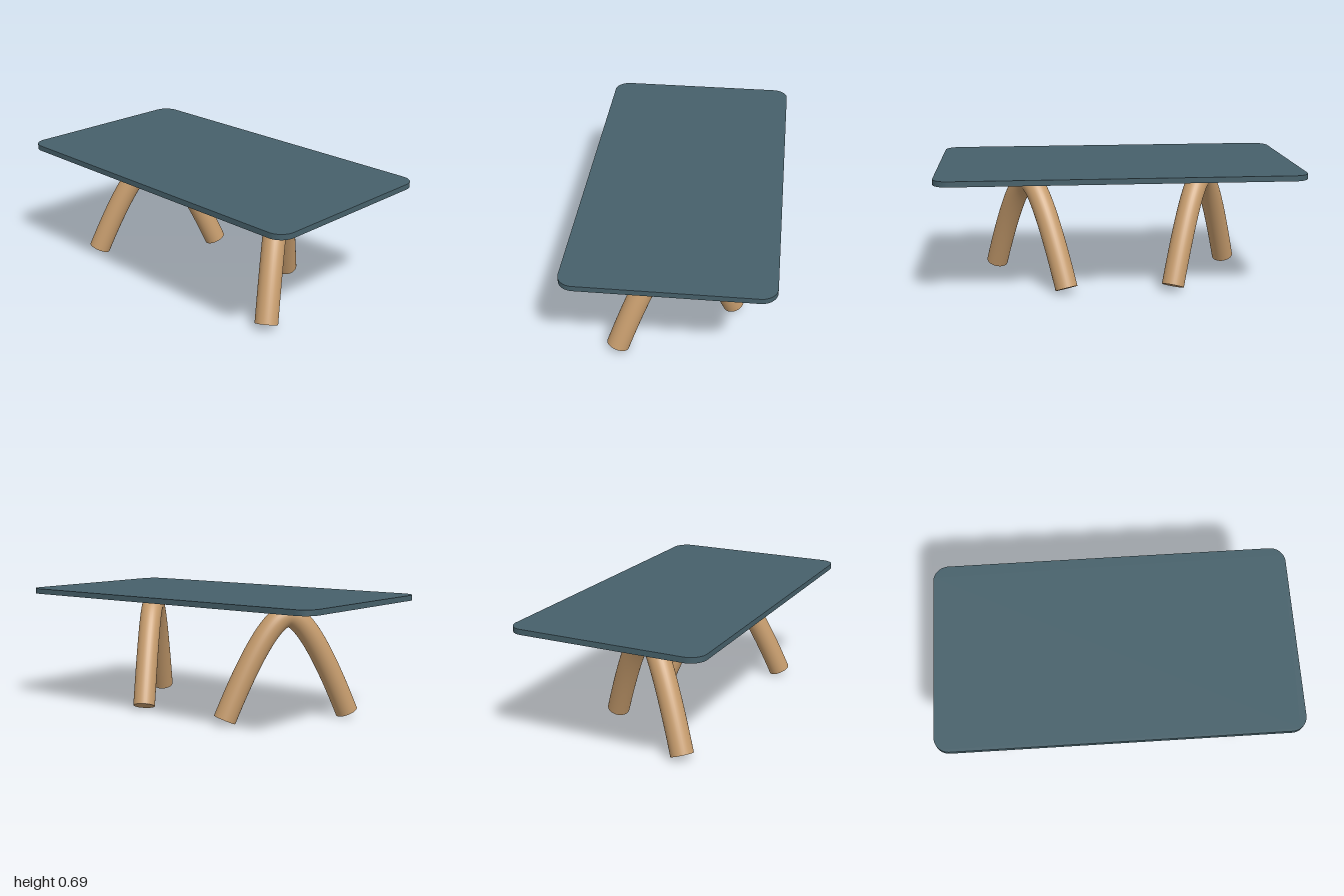
import * as THREE from 'three';

const WOOD = new THREE.MeshStandardMaterial({ color: 0xc69c6d });
const SLATE = new THREE.MeshStandardMaterial({ color: 0x46606a });
const DARK = new THREE.MeshStandardMaterial({ color: 0x2a2d30 });

const LEG_RADIUS = 0.063;
const ARCH_X = 0.5;

function addMesh(parent, name, geometry, material) {
  const mesh = new THREE.Mesh(geometry, material);
  mesh.name = name;
  parent.add(mesh);
  return mesh;
}

// Thin slab with rounded corners, lying flat
function createTop() {
  const w = 1, d = 0.545, r = 0.085;
  const shape = new THREE.Shape();
  shape.absarc(w - r, d - r, r, 0, Math.PI / 2);
  shape.absarc(-w + r, d - r, r, Math.PI / 2, Math.PI);
  shape.absarc(-w + r, -d + r, r, Math.PI, Math.PI * 1.5);
  shape.absarc(w - r, -d + r, r, Math.PI * 1.5, Math.PI * 2);
  const geometry = new THREE.ExtrudeGeometry(shape, { depth: 0.03, bevelEnabled: false, curveSegments: 10 });
  geometry.rotateX(-Math.PI / 2);
  geometry.translate(0, 0.662, 0);
  return geometry;
}

// Bent round bar: front foot splayed outwards, back foot inwards
function createArch(side) {
  const arch = new THREE.Group();
  arch.name = side > 0 ? 'leftLegArch' : 'rightLegArch';
  const V = (x, y, z) => new THREE.Vector3(x * side, y, z);
  const foot = V(0.2, 0.025, 0.305), bend = V(0.068, 0.585, 0.103), apex = V(0, 0.585, 0);
  const flip = (v) => new THREE.Vector3(-v.x, v.y, -v.z);

  const path = new THREE.CurvePath();
  path.add(new THREE.QuadraticBezierCurve3(foot, bend, apex));
  path.add(new THREE.QuadraticBezierCurve3(apex, flip(bend), flip(foot)));
  addMesh(arch, 'legBar', new THREE.TubeGeometry(path, 72, LEG_RADIUS, 32), WOOD);

  // Square-cut feet
  for (const [name, end, from] of [['frontFoot', foot, bend], ['backFoot', flip(foot), flip(bend)]]) {
    const cap = addMesh(arch, name, new THREE.CircleGeometry(LEG_RADIUS, 32), WOOD);
    cap.position.copy(end);
    cap.quaternion.setFromUnitVectors(new THREE.Vector3(0, 0, 1), end.clone().sub(from).normalize());
  }

  // Mounting disc with softened rim
  const profile = [[0, 0.645], [0.055, 0.645], [0.059, 0.649], [0.059, 0.658], [0.055, 0.662], [0, 0.662]];
  addMesh(arch, 'mountingDisc',
    new THREE.LatheGeometry(profile.map(([x, y]) => new THREE.Vector2(x, y)), 40), DARK);

  arch.position.x = side * ARCH_X;
  return arch;
}

export function createModel() {
  const table = new THREE.Group();
  table.name = 'table';
  addMesh(table, 'tableTop', createTop(), SLATE);
  for (const side of [1, -1]) table.add(createArch(side));
  return table;
}
